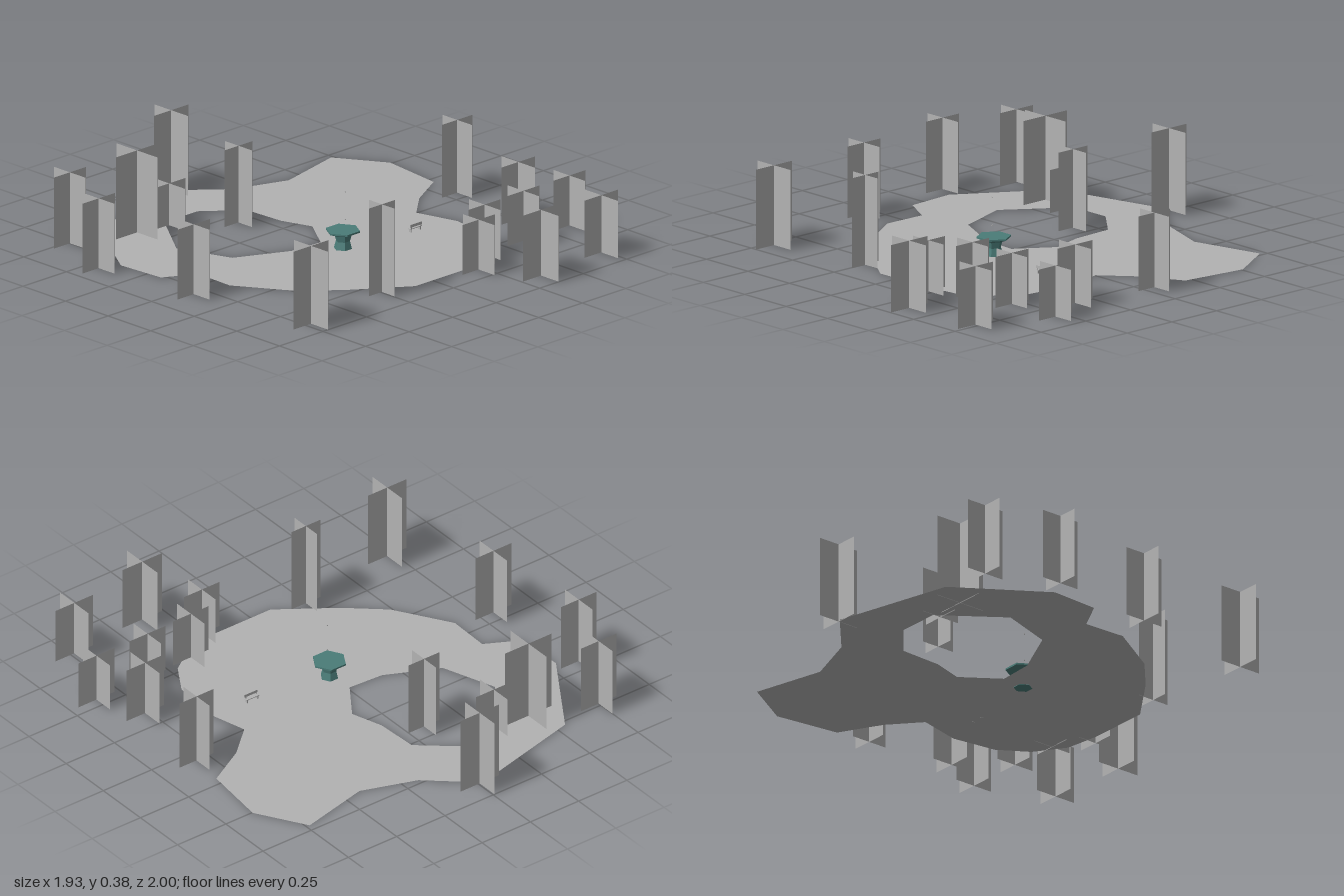
import * as THREE from 'three';

export function createModel() {
  const model = new THREE.Group();
  const stone = new THREE.MeshStandardMaterial({ color: 0xb2b2b2, side: THREE.DoubleSide });
  stone.name = 'pale grey';
  const teal = new THREE.MeshStandardMaterial({ color: 0x4a7c78, flatShading: true });
  teal.name = 'teal';

  const add = (parent, name, geometry, material, x = 0, y = 0, z = 0) => {
    const mesh = new THREE.Mesh(geometry, material);
    mesh.name = name;
    mesh.position.set(x, y, z);
    parent.add(mesh);
    return mesh;
  };

  // Flat ground with a pond opening; outlines are [x, z]
  const toPoints = (list) => list.map(([x, z]) => new THREE.Vector2(x, -z));
  const outline = new THREE.Shape(toPoints([
    [-0.02, -0.905], [0.18, -0.73], [0.42, -0.645], [0.735, -0.72], [0.865, -0.505],
    [0.83, -0.215], [0.65, -0.115], [0.52, 0], [0.57, 0.19], [0.545, 0.39], [0.465, 0.52],
    [0.335, 0.61], [0.18, 0.63], [-0.1, 0.63], [-0.335, 0.465], [-0.49, 0.33], [-0.64, 0.09],
    [-0.635, -0.1], [-0.775, -0.175], [-0.79, -0.395], [-0.545, -0.775],
  ]));
  outline.holes.push(new THREE.Path(toPoints([
    [-0.3, -0.64], [-0.11, -0.64], [0.045, -0.51], [0.055, -0.32], [0.1, -0.18],
    [-0.01, -0.02], [-0.17, -0.03], [-0.4, -0.14], [-0.485, -0.38],
  ])));
  const ground = new THREE.ShapeGeometry(outline);
  ground.rotateX(-Math.PI / 2);
  add(model, 'ground', ground, stone, 0, 0.002, 0);

  // Trees made of two crossed upright cards: x, z, width, height
  const trees = [
    [-0.72, 0.65, 0.2, 0.34], [-0.815, 0.058, 0.185, 0.305], [-0.875, -0.438, 0.185, 0.305],
    [-0.75, -0.735, 0.185, 0.31], [-0.465, -0.632, 0.242, 0.36], [-0.307, -0.605, 0.187, 0.183],
    [-0.08, -0.43, 0.16, 0.335], [-0.007, -0.9, 0.197, 0.35], [-0.245, 0.58, 0.15, 0.383],
    [0.36, 0.895, 0.205, 0.287], [0.372, 0.552, 0.185, 0.218], [0.228, 0.665, 0.185, 0.218],
    [0.602, 0.545, 0.185, 0.218], [0.866, 0.545, 0.185, 0.218], [0.732, 0.869, 0.195, 0.25],
    [0.768, 0.345, 0.195, 0.25], [0.812, -0.058, 0.175, 0.318],
  ];
  for (const [x, z, width, height] of trees) {
    const tree = new THREE.Group();
    tree.name = 'tree';
    tree.position.set(x, height / 2, z);
    const card = new THREE.PlaneGeometry(width, height);
    add(tree, 'treeCardAcross', card, stone);
    add(tree, 'treeCardAlong', card, stone).rotation.y = Math.PI / 2;
    model.add(tree);
  }

  // Six-sided fountain: waisted foot under a flared basin
  const profile = [[0, 0], [0.039, 0], [0.03, 0.035], [0.037, 0.062], [0.073, 0.076], [0.073, 0.083], [0, 0.083]]
    .map(([r, y]) => new THREE.Vector2(r, y));
  const fountain = new THREE.LatheGeometry(profile, 6);
  fountain.rotateY(Math.PI / 2);
  add(model, 'fountain', fountain, teal, 0.007, 0, 0.094);

  // Tiny droplets above the fountain
  for (const y of [0.13, 0.25]) {
    add(model, 'droplet', new THREE.BoxGeometry(0.004, 0.004, 0.004), stone, 0.01, y, 0.105);
  }

  // Small bench
  const bench = new THREE.Group();
  bench.name = 'bench';
  bench.position.set(0.365, 0, 0.15);
  add(bench, 'seat', new THREE.BoxGeometry(0.066, 0.003, 0.014), stone, 0, 0.017, 0);
  add(bench, 'backrest', new THREE.BoxGeometry(0.066, 0.012, 0.003), stone, 0, 0.031, 0.008);
  for (const side of [-1, 1]) {
    add(bench, 'leg', new THREE.BoxGeometry(0.004, 0.017, 0.012), stone, side * 0.027, 0.0085, 0);
    add(bench, 'backPost', new THREE.BoxGeometry(0.004, 0.02, 0.003), stone, side * 0.027, 0.026, 0.007);
  }
  model.add(bench);

  return model;
}
